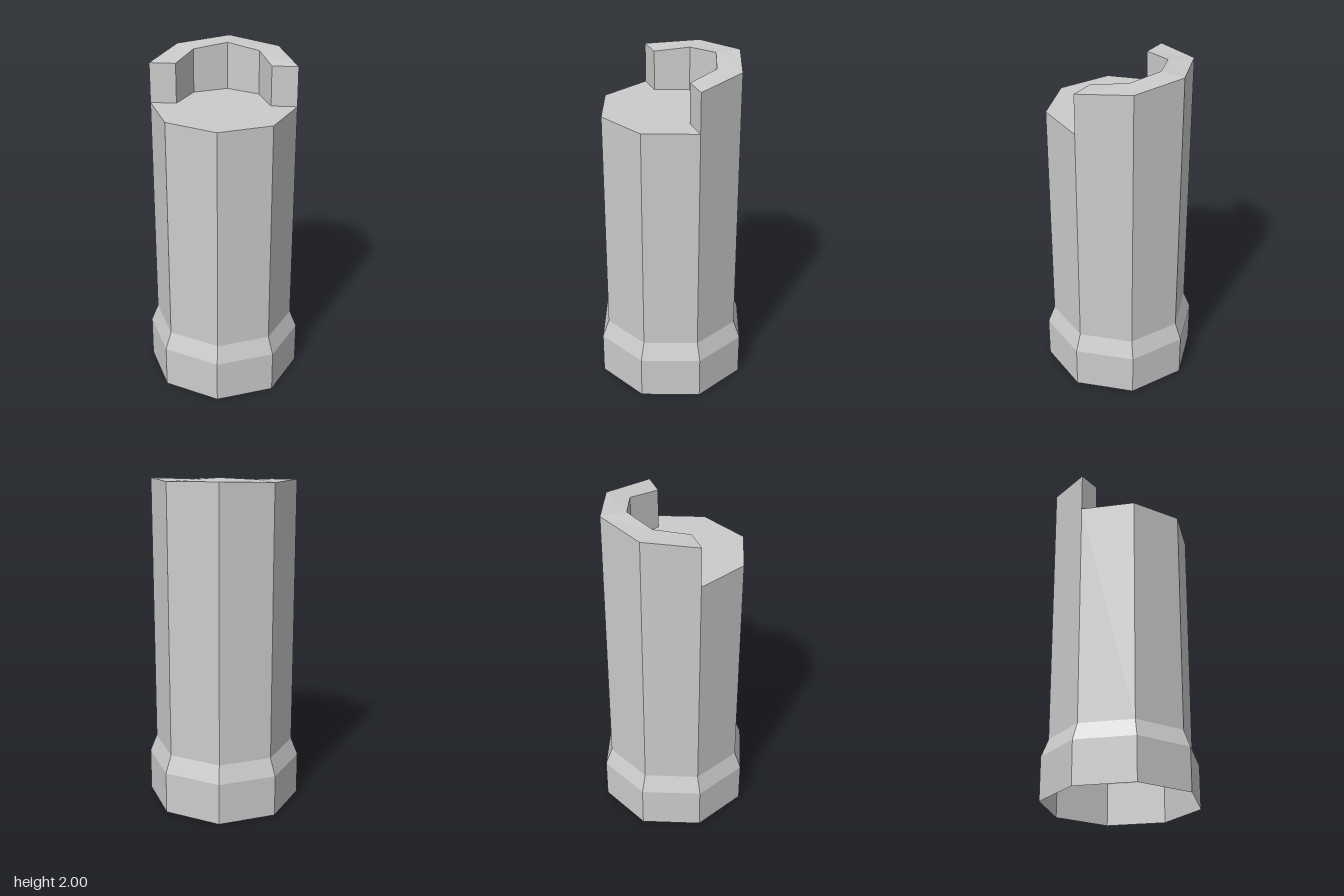
import * as THREE from 'three';

const SIDES = 8;
const BODY_RADIUS = 0.416, INNER_RADIUS = 0.268, BASE_RADIUS = 0.457;
const CAP_Y = 1.72;

// Raised wall swept through radial cross-sections, one per octagon corner
function raisedWallGeometry() {
  const topHeights = [1.955, 1.98, 2.0, 1.98, 1.955];
  const positions = [];
  const index = [];
  topHeights.forEach((top, i) => {
    const a = ((i + 1) * Math.PI * 2) / SIDES;
    const section = [[BODY_RADIUS, CAP_Y], [BODY_RADIUS, top], [INNER_RADIUS, top], [INNER_RADIUS, CAP_Y]];
    for (const [r, y] of section) positions.push(r * Math.sin(a), y, r * Math.cos(a));
  });
  const last = (topHeights.length - 1) * 4;
  for (let a = 0; a < last; a += 4) {
    const b = a + 4;
    // outer face, sloping top, inner face
    for (let j = 0; j < 3; j++) {
      index.push(a + j, b + j, b + j + 1, a + j, b + j + 1, a + j + 1);
    }
  }
  // Flat radial ends
  index.push(0, 1, 2, 0, 2, 3);
  index.push(last, last + 2, last + 1, last, last + 3, last + 2);

  const geometry = new THREE.BufferGeometry();
  geometry.setAttribute('position', new THREE.Float32BufferAttribute(positions, 3));
  geometry.setIndex(index);
  geometry.computeVertexNormals();
  return geometry;
}

export function createModel() {
  const group = new THREE.Group();
  group.name = 'octagonalColumn';
  const material = new THREE.MeshStandardMaterial({
    color: 0xcccccc, flatShading: true, side: THREE.DoubleSide,
  });
  const add = (name, geometry) => {
    const mesh = new THREE.Mesh(geometry, material);
    mesh.name = name;
    group.add(mesh);
    return mesh;
  };
  const shell = (...points) =>
    new THREE.LatheGeometry(points.map(([r, y]) => new THREE.Vector2(r, y)), SIDES);

  // Hollow foot, open underneath, tapering into the shaft
  add('base', shell([BASE_RADIUS, 0], [BASE_RADIUS, 0.255], [BODY_RADIUS, 0.36]));

  // Shaft closed by a flat cap
  add('shaft', shell([BODY_RADIUS, 0.36], [BODY_RADIUS, CAP_Y]));
  const cap = add('cap', new THREE.CircleGeometry(BODY_RADIUS, SIDES));
  cap.rotation.x = -Math.PI / 2;
  cap.position.y = CAP_Y;

  // Partial wall on the back and left sides
  add('raisedWall', raisedWallGeometry());

  return group;
}
